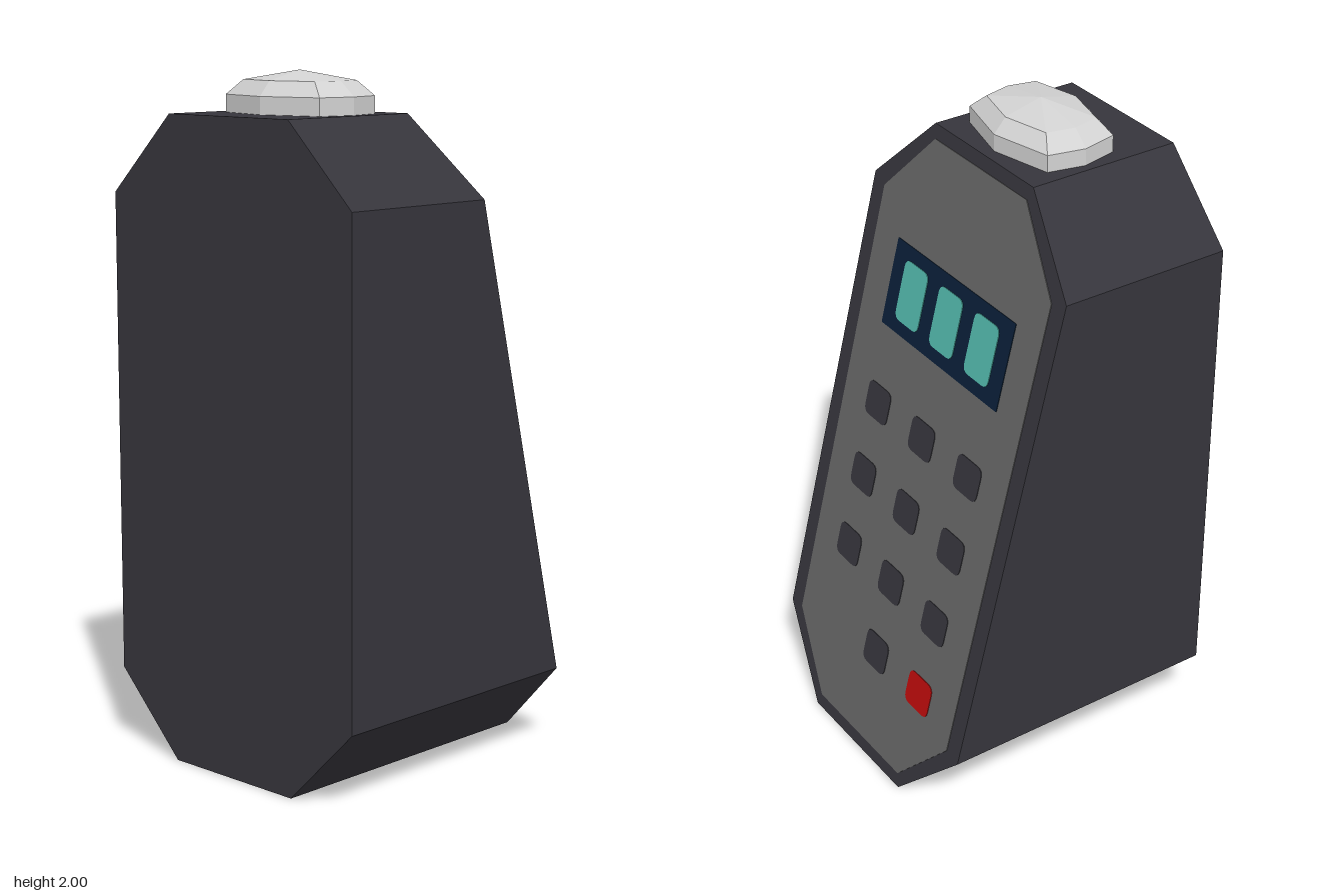
import * as THREE from 'three';

const material = (name, color) => {
  const m = new THREE.MeshStandardMaterial({ color });
  m.name = name;
  return m;
};

// Tall octagon: half widths at the ends and sides, then the four heights
function octagon(end, side, y0, y1, y2, y3) {
  return new THREE.Shape([
    [end, y0], [side, y1], [side, y2], [end, y3],
    [-end, y3], [-side, y2], [-side, y1], [-end, y0],
  ].map(([x, y]) => new THREE.Vector2(x, y)));
}

function roundedRect(w, h, r) {
  const s = new THREE.Shape();
  const x = w / 2, y = h / 2;
  s.moveTo(-x + r, -y);
  s.lineTo(x - r, -y).quadraticCurveTo(x, -y, x, -y + r);
  s.lineTo(x, y - r).quadraticCurveTo(x, y, x - r, y);
  s.lineTo(-x + r, y).quadraticCurveTo(-x, y, -x, y - r);
  s.lineTo(-x, -y + r).quadraticCurveTo(-x, -y, -x + r, -y);
  return s;
}

export function createModel() {
  const model = new THREE.Group();
  model.name = 'keypadDevice';
  const casing = material('casing charcoal', 0x36353c);
  const panelGrey = material('panel grey', 0x666666);
  const screenBlue = material('screen navy', 0x0a1f38);
  const digitTeal = material('digit teal', 0x52b8ac);
  const red = material('button red', 0xbc0c0c);
  const domeGrey = material('dome light grey', 0xd2d2d2);

  const add = (parent, name, geometry, mat, x = 0, y = 0, z = 0) => {
    const mesh = new THREE.Mesh(geometry, mat);
    mesh.name = name;
    mesh.position.set(x, y, z);
    parent.add(mesh);
    return mesh;
  };

  // Wedge body: octagonal prism with its back face leaning forward
  const bodyGeo = new THREE.ExtrudeGeometry(
    octagon(0.235, 0.47, 0, 0.235, 1.65, 1.88), { depth: 1, bevelEnabled: false });
  const p = bodyGeo.attributes.position;
  for (let i = 0; i < p.count; i++) {
    p.setZ(i, p.getZ(i) > 0.5 ? 0.47 : -0.47 + 0.25 * p.getY(i));
  }
  bodyGeo.computeVertexNormals();
  add(model, 'body', bodyGeo, casing);

  // Sloped back: local y follows body height, local z points outward
  const back = new THREE.Group();
  back.name = 'controlPanel';
  back.position.z = -0.47;
  back.rotation.set(-Math.atan(0.25), Math.PI, 0, 'YXZ');
  back.scale.y = Math.hypot(1, 0.25);
  model.add(back);
  const plate = (name, shape, mat, x, y, layer) => add(back, name,
    new THREE.ExtrudeGeometry(shape, { depth: 0.002, bevelEnabled: false, curveSegments: 4 }),
    mat, x, y, layer * 0.002);

  plate('panel', octagon(0.22, 0.412, 0.04, 0.245, 1.63, 1.84), panelGrey, 0, 0, 0);

  // Screen with three digits
  plate('screen', roundedRect(0.588, 0.26, 0.004), screenBlue, 0, 1.39, 1);
  for (const x of [-0.177, 0, 0.177]) {
    plate('digit', roundedRect(0.118, 0.18, 0.025), digitTeal, x, 1.39, 2);
  }

  // Number keys, with a red one in the last row
  [1.03, 0.797, 0.562, 0.327].forEach((y, row) => {
    [-0.235, 0, 0.235].forEach((x, col) => {
      if (row === 3 && col === 0) return;
      const isRed = row === 3 && col === 2;
      plate(isRed ? 'redKey' : 'key', roundedRect(0.117, 0.105, 0.025),
        isRed ? red : casing, x, y, 1);
    });
  });

  // Faceted oval dome on top
  const profile = [[1, 0], [1, 0.05], [0.76, 0.092], [0, 0.12]]
    .map(([r, y]) => new THREE.Vector2(r, y));
  const lathe = new THREE.LatheGeometry(profile, 8);
  const q = lathe.attributes.position;
  for (let i = 0; i < q.count; i++) {
    const x = q.getX(i), z = q.getZ(i);
    const diagonal = Math.abs(x) > 0.01 && Math.abs(z) > 0.01;
    q.setX(i, x * (diagonal ? 0.262 : 0.21));
    q.setZ(i, z * 0.155);
  }
  const domeGeo = lathe.toNonIndexed();
  domeGeo.computeVertexNormals();
  add(model, 'dome', domeGeo, domeGrey, 0, 1.88, 0.19);

  return model;
}
